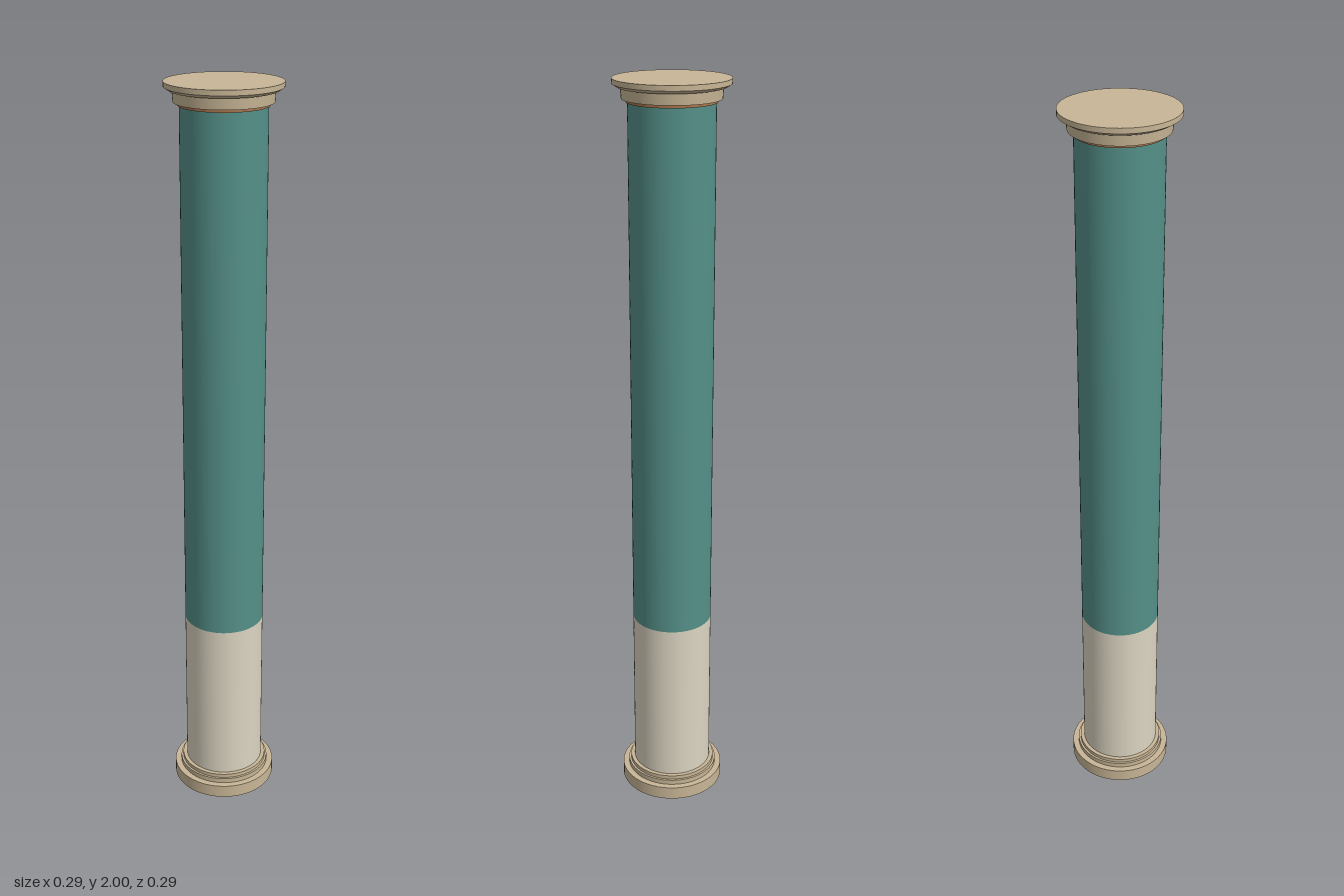
import * as THREE from 'three';

const SEGMENTS = 64;

export function createModel() {
  const column = new THREE.Group();
  column.name = 'column';

  const mat = (name, color) => {
    const m = new THREE.MeshStandardMaterial({ color });
    m.name = name;
    return m;
  };
  const sandstone = mat('sandstone', 0xc8b696);
  const cream = mat('cream', 0xdcd5c2);
  const teal = mat('teal', 0x559089);
  const copper = mat('copper', 0xa5744e);

  // One turned section between two heights
  const drum = (name, material, y0, y1, rBottom, rTop = rBottom, open = false) => {
    const geometry = new THREE.CylinderGeometry(rTop, rBottom, y1 - y0, SEGMENTS, 1, open);
    const mesh = new THREE.Mesh(geometry, material);
    mesh.name = name;
    mesh.position.y = (y0 + y1) / 2;
    column.add(mesh);
  };

  // Base
  drum('basePlinth', sandstone, 0, 0.037, 0.143);
  drum('baseStep', sandstone, 0.037, 0.051, 0.126);
  drum('baseCollar', sandstone, 0.051, 0.062, 0.12);

  // Two-tone shaft
  drum('lowerShaft', cream, 0.062, 0.53, 0.109, 0.109, true);
  drum('upperShaft', teal, 0.53, 1.945, 0.109, 0.109, true);

  // Capital
  drum('neckRing', copper, 1.943, 1.951, 0.113);
  drum('capitalEchinus', sandstone, 1.951, 1.979, 0.124, 0.126);
  drum('capitalFlare', sandstone, 1.979, 1.987, 0.134, 0.147);
  drum('capitalSlab', sandstone, 1.987, 2, 0.147);

  return column;
}
